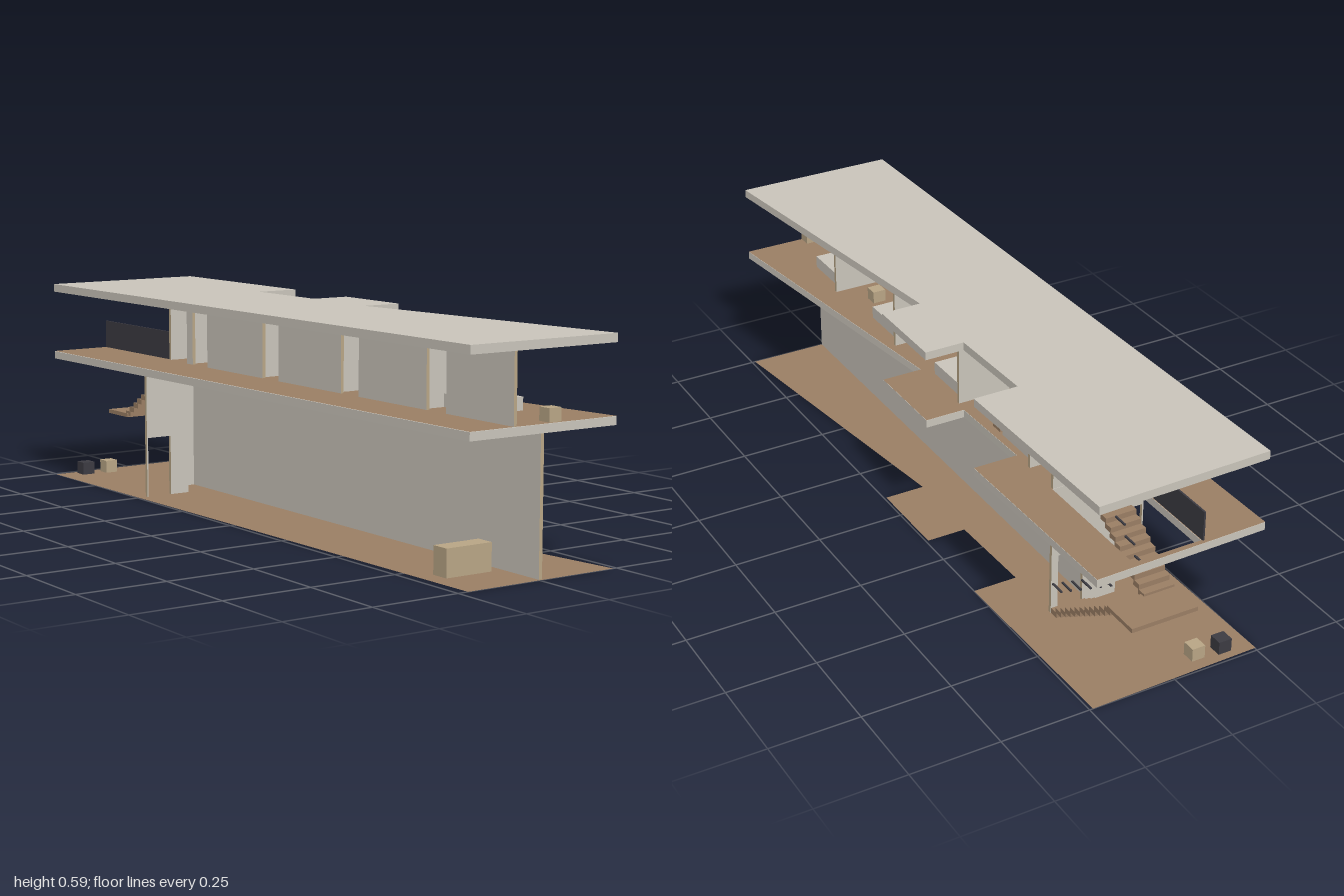
import * as THREE from 'three';

const material = (name, color, side = THREE.FrontSide) => {
  const m = new THREE.MeshStandardMaterial({ color, side });
  m.name = name;
  return m;
};

export function createModel() {
  const model = new THREE.Group();
  model.name = 'twoStoreyPavilion';
  const plaster = material('plaster', 0xc9c4ba);
  const tan = material('paleTimber', 0xb8a585);
  const brown = material('brownTimber', 0x9a7e64, THREE.DoubleSide);
  const dark = material('darkMetal', 0x3c3b42);

  const add = (name, geometry, mat) => {
    const mesh = new THREE.Mesh(geometry, mat);
    mesh.name = name;
    model.add(mesh);
    return mesh;
  };
  // Box given by its limits on each axis
  const box = (name, mat, [x0, x1], [y0, y1], [z0, z1]) => {
    const mesh = add(name, new THREE.BoxGeometry(x1 - x0, y1 - y0, z1 - z0), mat);
    mesh.position.set((x0 + x1) / 2, (y0 + y1) / 2, (z0 + z1) / 2);
    return mesh;
  };
  // Plaster walls with timber end faces
  const endsX = [tan, tan, plaster, plaster, plaster, plaster];
  const endsZ = [plaster, plaster, plaster, plaster, tan, tan];

  // Plan outline shared by ground, upper floor and roof, as x and z
  const outline = [
    [-0.22, 1], [0.24, 1], [0.127, 0.1], [0.243, 0.1], [0.243, -0.15],
    [0.13, -0.15], [0.123, -0.42], [0.25, -0.42], [0.24, -1], [-0.253, -0.99],
  ];
  const toPoints = (list) => list.map(([x, z]) => new THREE.Vector2(x, -z));
  const plan = (hole) => {
    const shape = new THREE.Shape(toPoints(outline));
    if (hole) shape.holes.push(new THREE.Path(toPoints(hole)));
    return shape;
  };
  const slab = (name, y0, y1, hole) => {
    const g = new THREE.ExtrudeGeometry(plan(hole), { depth: y1 - y0, bevelEnabled: false });
    add(name, g.rotateX(-Math.PI / 2).translate(0, y0, 0), plaster);
  };
  const sheet = (name, y, hole) =>
    add(name, new THREE.ShapeGeometry(plan(hole)).rotateX(-Math.PI / 2).translate(0, y, 0), brown);

  // Horizontal layers
  const stairwell = [[-0.07, -0.605], [0.127, -0.605], [0.127, -0.98], [-0.07, -0.98]];
  sheet('groundFloor', 0);
  slab('upperSlab', 0.36, 0.382, stairwell);
  sheet('upperFloorFinish', 0.383, stairwell);
  slab('roof', 0.565, 0.588);

  // Ground storey walls
  const low = [0.001, 0.36];
  box('groundLongWall', endsZ, [0, 0.01], low, [-0.595, 0.998]);
  const doorWall = (name, [x0, x1], [d0, d1], z) => {
    const depth = [z - 0.005, z + 0.005];
    box(name + 'JambA', endsX, [x0, d0], low, depth);
    box(name + 'JambB', endsX, [d1, x1], low, depth);
    box(name + 'Lintel', plaster, [d0, d1], [0.174, 0.36], depth);
  };
  doorWall('sideDoorWall', [-0.22, -0.08], [-0.216, -0.14], -0.5);
  doorWall('stairDoorWall', [-0.072, 0.125], [0.03, 0.105], -0.6);

  // Upper corridor wall, one doorway per room
  const high = [0.383, 0.565];
  const wallX = [-0.085, -0.076];
  let start = 0.998;
  for (const z of [0.737, 0.367, -0.008, -0.378]) {
    box('corridorWall', endsZ, wallX, high, [z, start]);
    box('doorHead', plaster, wallX, [0.556, 0.565], [z - 0.08, z]);
    start = z - 0.08;
  }
  box('corridorWallEnd', endsZ, wallX, high, [-0.49, start]);

  // Partitions between rooms
  for (const z of [0.635, 0.26, -0.11, -0.485, -0.6]) {
    box('partition', endsX, [-0.076, 0.125], high, [z - 0.005, z + 0.005]);
  }

  // Bedroom furniture
  const furniture = [0.384, 0.419];
  for (const z of [0.725, 0.355, -0.02, -0.395]) {
    box('bed', plaster, [-0.02, 0.105], furniture, [z - 0.08, z + 0.08]);
  }
  const cube = (name, mat, x, z, y = furniture) =>
    box(name, mat, [x - 0.019, x + 0.019], y, [z - 0.019, z + 0.019]);
  for (const z of [0.98, 0.53, 0.16, -0.19]) cube('stool', tan, 0.044, z);
  for (const z of [0.605, 0.228, -0.14]) cube('bedsideTable', brown, -0.046, z);
  cube('bedsideTable', brown, 0.085, -0.28);

  // Ground storey furniture
  box('counter', tan, [-0.176, -0.035], [0.001, 0.075], [0.808, 0.86]);
  cube('paleSeat', tan, -0.097, -0.942, [0.001, 0.038]);
  cube('darkSeat', dark, -0.172, -0.951, [0.001, 0.038]);

  // Two stair flights meeting at a landing
  const steps = 12;
  const tread = 0.275 / steps;
  for (let i = 0; i < steps; i++) {
    const z = -0.605 - i * tread;
    const y = i * 0.015;
    const run = [z - tread - 0.004, z];
    box('lowerStep', brown, [0.035, 0.124], [y + 0.001, y + 0.016], run);
    box('upperStep', brown, [-0.066, 0.025], [0.346 - y, 0.361 - y], run);
  }
  box('landing', brown, [-0.069, 0.125], [0.177, 0.189], [-0.985, -0.87]);

  // Handrail bars following each flight
  for (let i = 0; i < 6; i++) {
    const z = -0.605 - i * 0.046;
    const run = [z - 0.044, z];
    const y = i * 0.032;
    box('lowerRailBar', dark, [0.117, 0.122], [0.089 + y, 0.093 + y], run);
    box('upperRailBar', dark, [0.022, 0.027], [0.441 - y, 0.445 - y], run);
  }

  // Guard panel beside the stairwell
  box('guardPanel', dark, [-0.076, -0.071], [0.384, 0.466], [-0.985, -0.605]);

  return model;
}
